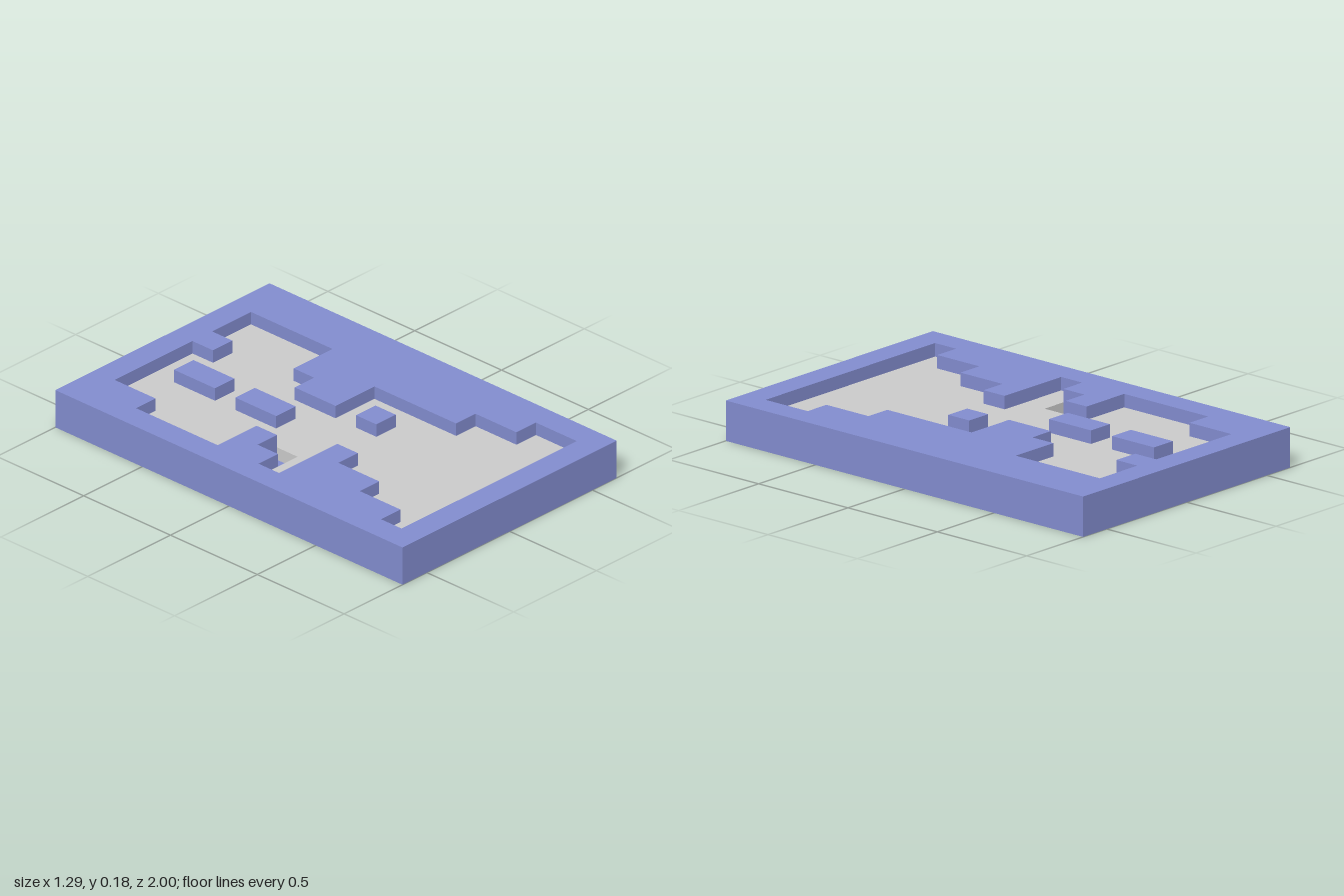
import * as THREE from 'three';

const CELL = 2 / 17;      // the plate is a grid of 11 x 17 cells
const LAYER = CELL / 2;   // and three layers thick
const COLS = 11, ROWS = 17;

// Grid corner (column, row) to plan coordinates; the plan's y is -z
const corner = ([c, r]) => new THREE.Vector2((c - COLS / 2) * CELL, (ROWS / 2 - r) * CELL);
// Counter-clockwise in plan, so that clockwise holes get walls facing inwards
const rect = (c0, r0, c1, r1) => [[c0, r0], [c0, r1], [c1, r1], [c1, r0]];

// Upright prism over a grid outline, between two layer levels
function prism(name, material, outline, from, to, hole) {
  const shape = new THREE.Shape(outline.map(corner));
  if (hole) shape.holes.push(new THREE.Path(hole.map(corner)));
  const geometry = new THREE.ExtrudeGeometry(shape, { depth: (to - from) * LAYER, bevelEnabled: false });
  geometry.rotateX(-Math.PI / 2).translate(0, from * LAYER, 0);
  const mesh = new THREE.Mesh(geometry, material);
  mesh.name = name;
  return mesh;
}

export function createModel() {
  const blue = new THREE.MeshStandardMaterial({ color: 0x838dd0 });
  const grey = new THREE.MeshStandardMaterial({ color: 0xcccccc });
  const group = new THREE.Group();
  group.name = 'pixelReliefPlate';

  // Stepped outline shared by the recess and its floor, up to the pit
  const steps = [
    [3, 8], [3, 7], [1, 7], [1, 3], [2, 3], [2, 1], [6, 1], [6, 2], [7, 2], [7, 1],
    [9, 1], [9, 5], [7, 5], [7, 6], [6, 6], [6, 8], [8, 8], [8, 12], [9, 12], [9, 14],
    [10, 14], [10, 16], [1, 16], [1, 15], [2, 15], [2, 13], [3, 13], [3, 11], [4, 11],
    [4, 10], [1, 10], [1, 9], [2, 9],
  ];
  const recess = [...steps, [2, 8]];     // includes the one-cell pit
  const floor = [...steps, [3, 9]];      // leaves the pit open

  const plate = rect(0, 0, COLS, ROWS);
  group.add(prism('baseSlab', blue, plate, 0, 1));
  group.add(prism('frame', blue, plate, 1, 3, recess));
  group.add(prism('recessFloor', grey, floor, 1, 2));

  // Raised blocks standing in the recess
  [[4, 2, 5, 4], [4, 5, 5, 7], [6, 9, 7, 10]].forEach((cells, i) =>
    group.add(prism(`raisedBlock${i + 1}`, blue, rect(...cells), 1, 3)));

  return group;
}
